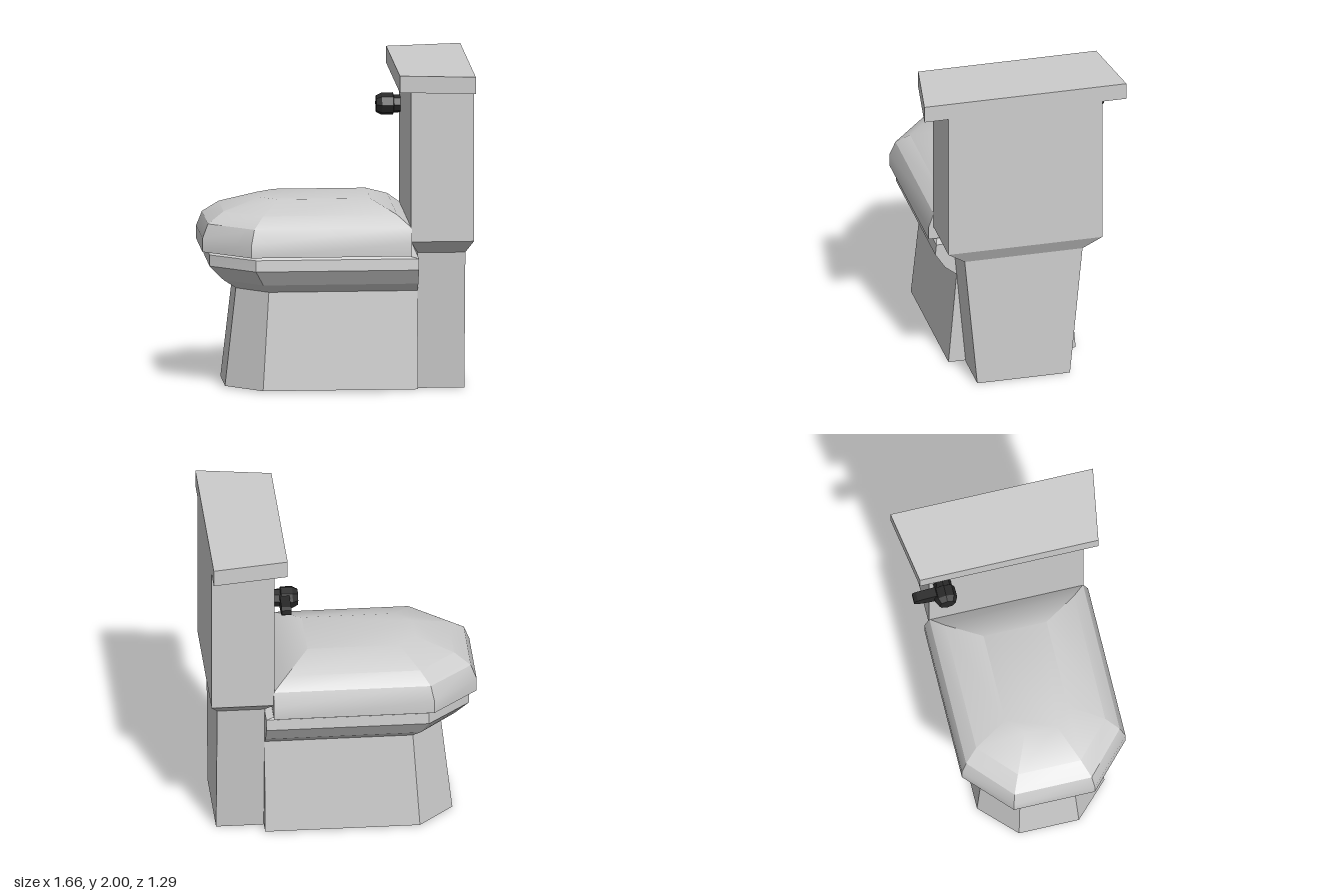
import * as THREE from 'three';
import { toCreasedNormals } from 'three/addons/utils/BufferGeometryUtils.js';

// Horizontal cross-section: [x, z] pairs along the +z side, mirrored to -z
const ring = (y, ...half) => [
  ...half.map(([x, z]) => [x, y, z]),
  ...half.slice().reverse().map(([x, z]) => [x, y, -z]),
];

// Closed solid through cross-sections stacked from bottom to top
function loft(rings, crease = 0.1) {
  const n = rings[0].length;
  const pos = [];
  const tri = (...pts) => pts.forEach((p) => pos.push(...p));
  for (let i = 0; i < rings.length - 1; i++) {
    for (let j = 0; j < n; j++) {
      const k = (j + 1) % n;
      const a = rings[i][j], b = rings[i][k], c = rings[i + 1][j], d = rings[i + 1][k];
      tri(a, b, d);
      tri(a, d, c);
    }
  }
  const bottom = rings[0], top = rings[rings.length - 1];
  for (let j = 1; j < n - 1; j++) {
    tri(top[0], top[j], top[j + 1]);
    tri(bottom[0], bottom[j + 1], bottom[j]);
  }
  const g = new THREE.BufferGeometry();
  g.setAttribute('position', new THREE.Float32BufferAttribute(pos, 3));
  return toCreasedNormals(g, crease);
}

export function createModel() {
  const model = new THREE.Group();
  model.name = 'toilet';
  const porcelain = new THREE.MeshStandardMaterial({ color: 0xcccccc });
  porcelain.name = 'porcelain';
  const black = new THREE.MeshStandardMaterial({ color: 0x282828 });
  black.name = 'black handle';

  const add = (name, geometry, material, parent = model) => {
    const m = new THREE.Mesh(geometry, material);
    m.name = name;
    parent.add(m);
    return m;
  };

  // Pedestal, tapering upward
  add('pedestal', loft([
    ring(0.01, [-0.69, 0.19], [-0.47, 0.405], [0.49, 0.405]),
    ring(0.63, [-0.62, 0.165], [-0.43, 0.352], [0.49, 0.352]),
  ]), porcelain);

  // Bowl with chamfered underside and rim
  add('bowl', loft([
    ring(0.62, [-0.62, 0.17], [-0.43, 0.355], [0.49, 0.355]),
    ring(0.675, [-0.7, 0.2], [-0.47, 0.425], [0.49, 0.425]),
    ring(0.77, [-0.79, 0.24], [-0.52, 0.488], [0.49, 0.488]),
    ring(0.84, [-0.79, 0.24], [-0.52, 0.482], [0.49, 0.482]),
    ring(0.862, [-0.75, 0.22], [-0.5, 0.455], [0.4, 0.455]),
  ]), porcelain);

  // Domed seat cover, softly shaded on top
  add('seatCover', loft([
    ring(0.862, [-0.835, 0.257], [-0.55, 0.52], [0.445, 0.52]),
    ring(0.945, [-0.835, 0.257], [-0.55, 0.52], [0.445, 0.52]),
    ring(1.035, [-0.8, 0.245], [-0.53, 0.488], [0.445, 0.488]),
    ring(1.105, [-0.7, 0.2], [-0.47, 0.41], [0.36, 0.41]),
    ring(1.175, [-0.47, 0.1], [-0.36, 0.2], [0.21, 0.2]),
  ], 0.45), porcelain);

  // Rear column flaring out into the tank
  add('tank', loft([
    ring(0, [0.49, 0.295], [0.785, 0.295]),
    ring(0.86, [0.49, 0.375], [0.785, 0.375]),
    ring(0.947, [0.44, 0.49], [0.83, 0.49]),
    ring(1.9, [0.44, 0.49], [0.83, 0.49]),
  ]), porcelain);

  // Tank lid, wider at the rear
  add('tankLid', loft([
    ring(1.895, [0.365, 0.567], [0.83, 0.643]),
    ring(2, [0.365, 0.567], [0.83, 0.643]),
  ]), porcelain);

  // Flush handle: turned knob and tapered arm
  const handle = new THREE.Group();
  handle.name = 'flushHandle';
  handle.position.set(0.44, 1.665, -0.41);
  model.add(handle);

  const profile = [[0, -0.01], [0.055, -0.01], [0.057, 0.04], [0.07, 0.045], [0.07, 0.115], [0.052, 0.15], [0, 0.15]];
  const knobGeometry = new THREE.LatheGeometry(profile.map(([r, h]) => new THREE.Vector2(r, h)), 8);
  const knob = add('handleKnob', toCreasedNormals(knobGeometry.toNonIndexed(), 0.1), black, handle);
  knob.rotation.z = Math.PI / 2;

  const side = new THREE.Shape([
    [0, -0.05], [0.09, -0.043], [0.175, -0.03], [0.198, -0.015],
    [0.198, 0.015], [0.175, 0.028], [0.09, 0.036], [0, 0.045],
  ].map(([u, v]) => new THREE.Vector2(u, v)));
  const arm = add('handleArm', new THREE.ExtrudeGeometry(side, { depth: 0.06, bevelEnabled: false }), black, handle);
  arm.rotation.y = Math.PI / 2;
  arm.position.x = -0.095;

  return model;
}
